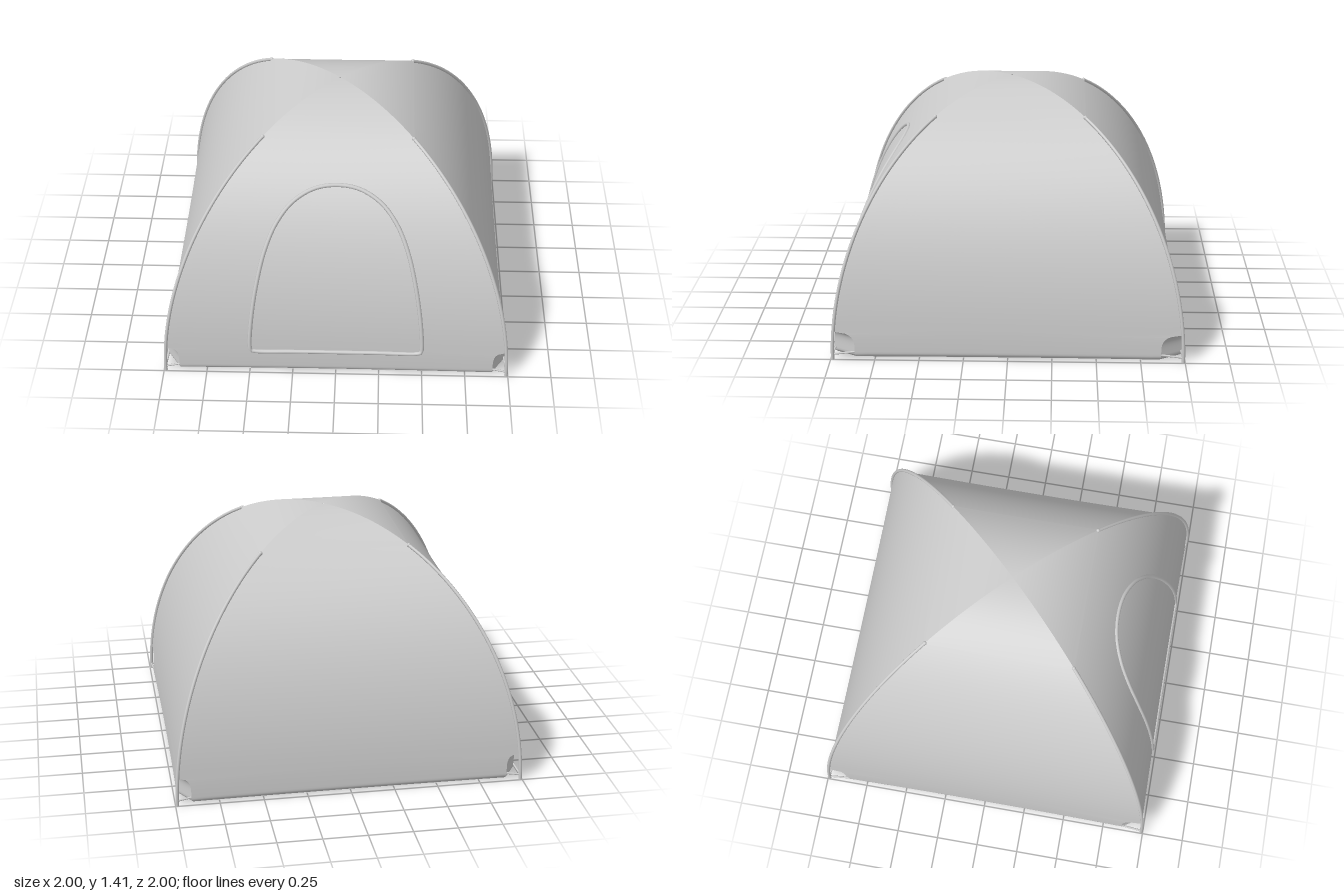
import * as THREE from 'three';

const HALF = 0.985, HEIGHT = 1.402;      // half width at the ground, fabric height
const CUT_TOP = 0.16, FLOOR_Y = 0.01;    // top of the corner cut-outs, floor level
const SEAM = 1.26;                       // lower edge of the roof cap

const fabric = new THREE.MeshStandardMaterial({ color: 0xcccccc, side: THREE.DoubleSide });
const solid = new THREE.MeshStandardMaterial({ color: 0xcccccc });

// Half width of the square dome at height y, with a small tuck at the hem
function halfWidth(y) {
  const t = Math.min(y / HEIGHT, 1);
  const tuck = y < 0.03 ? 0.012 * ((0.03 - y) / 0.02) ** 2 : 0;
  return HALF * Math.sqrt(1 - t * t) - tuck;
}

// Fabric hangs slightly inwards between the poles
const sag = (u) => 0.007 * (1 - u * u);

// Amount trimmed from a panel edge near the ground
function cut(y, size) {
  return y >= CUT_TOP ? 0 : size * Math.sqrt(1 - (y / CUT_TOP) ** 5);
}

// Smooth surface grid; point(u, y) with u running left to right
function sheet(name, point, columns, heights) {
  const positions = [], index = [];
  for (const y of heights) {
    for (let i = 0; i <= columns; i++) positions.push(...point(i / columns, y));
  }
  const n = columns + 1;
  for (let j = 0; j < heights.length - 1; j++) {
    for (let i = 0; i < columns; i++) {
      const a = j * n + i, b = a + 1, c = a + n, d = c + 1;
      index.push(a, b, d, a, d, c);
    }
  }
  const geometry = new THREE.BufferGeometry();
  geometry.setAttribute('position', new THREE.Float32BufferAttribute(positions, 3));
  geometry.setIndex(index);
  geometry.computeVertexNormals();
  return named(name, geometry, fabric);
}

function named(name, geometry, material) {
  const mesh = new THREE.Mesh(geometry, material);
  mesh.name = name;
  return mesh;
}

// Heights spaced evenly by angle along the arch
function archHeights(from, to, steps) {
  const a = Math.asin(from / HEIGHT), b = Math.asin(to / HEIGHT);
  return Array.from({ length: steps + 1 }, (_, i) => HEIGHT * Math.sin(a + (b - a) * i / steps));
}

function rod(name, from, to, radius) {
  const a = new THREE.Vector3(...from), b = new THREE.Vector3(...to);
  return named(name, new THREE.TubeGeometry(new THREE.LineCurve3(a, b), 1, radius, 8), fabric);
}

// One side of the tent with the pole and foot at its right-hand corner
function createSide(sideCut, nextCut) {
  const side = new THREE.Group();
  const low = archHeights(FLOOR_Y, CUT_TOP, 14);
  const high = archHeights(CUT_TOP, SEAM + 0.01, 32);

  side.add(sheet('wallPanel', (t, y) => {
    const u = t * 2 - 1, w = halfWidth(y);
    return [u * (w - cut(y, sideCut)), y, w - sag(u)];
  }, 24, [...low, ...high.slice(1)]));

  // Roof cap sits just above the wall panels
  side.add(sheet('roofCap', (t, y) => {
    const u = t * 2 - 1, w = halfWidth(y);
    return [u * (w + 0.004), y + 0.006, w + 0.004 - sag(u) * w];
  }, 16, archHeights(SEAM, HEIGHT, 16)));

  // Recessed fabric closing the corner cut-out
  side.add(sheet('cornerPatch', (t, y) => {
    const w = halfWidth(y);
    return [w - cut(y, sideCut) * (1 - t), y, w - cut(y, nextCut) * t];
  }, 4, low));

  // Bent pole along the diagonal, standing on the ground
  const path = archHeights(0.04, SEAM + 0.005, 20).map((y) => {
    const w = halfWidth(y) + 0.005;
    return new THREE.Vector3(w, y + 0.003, w);
  });
  const foot = path[0].x;
  path.unshift(new THREE.Vector3(foot, 0, foot));
  const curve = new THREE.CatmullRomCurve3(path);
  side.add(named('pole', new THREE.TubeGeometry(curve, 60, 0.01, 8), fabric));
  const tip = new THREE.SphereGeometry(0.012, 10, 8);
  const tipMesh = named('poleTip', tip, solid);
  tipMesh.position.copy(path[path.length - 1]);
  side.add(tipMesh);

  // Straps from the pole foot to the fabric
  const w = halfWidth(0.03);
  side.add(rod('footStrap', [foot, 0.03, foot], [w - sideCut, 0.04, w - 0.004], 0.006));
  side.add(rod('footStrap', [foot, 0.03, foot], [w - 0.004, 0.04, w - nextCut], 0.006));
  return side;
}

// Raised zip band following the front wall
function createDoor() {
  const half = [[0.47, 0.142], [0.492, 0.15], [0.497, 0.18], [0.487, 0.34], [0.455, 0.56],
    [0.405, 0.76], [0.34, 0.9], [0.25, 1.0], [0.13, 1.06]];
  const outline = [...half, [0, 1.077], ...half.slice().reverse().map(([x, y]) => [-x, y]),
    [-0.25, 0.142], [0, 0.142], [0.25, 0.142]];
  const points = outline.map(([x, y]) => {
    const w = halfWidth(y);
    return new THREE.Vector3(x, y, w - sag(x / w) + 0.001);
  });
  const curve = new THREE.CatmullRomCurve3(points, true, 'centripetal');
  return named('doorZip', new THREE.TubeGeometry(curve, 160, 0.012, 8, true), solid);
}

function createFloor(frontCut, sideCut) {
  const w = halfWidth(FLOOR_Y);
  const corners = [];
  for (const [sx, sz] of [[1, 1], [-1, 1], [-1, -1], [1, -1]]) {
    const pair = [[sx * w, sz * (w - sideCut)], [sx * (w - frontCut), sz * w]];
    corners.push(...(sx * sz > 0 ? pair : pair.reverse()));
  }
  const shape = new THREE.Shape(corners.map(([x, z]) => new THREE.Vector2(x, z)));
  const geometry = new THREE.ShapeGeometry(shape);
  geometry.rotateX(Math.PI / 2);
  geometry.translate(0, FLOOR_Y, 0);
  return named('floor', geometry, fabric);
}

export function createModel() {
  const tent = new THREE.Group();
  tent.name = 'domeTent';
  const frontCut = 0.075, sideCut = 0.12;
  const names = ['frontSide', 'leftSide', 'backSide', 'rightSide'];
  names.forEach((name, k) => {
    const cuts = k % 2 ? [sideCut, frontCut] : [frontCut, sideCut];
    const side = createSide(...cuts);
    side.name = name;
    side.rotation.y = k * Math.PI / 2;
    tent.add(side);
  });
  tent.add(createDoor(), createFloor(frontCut, sideCut));
  return tent;
}
